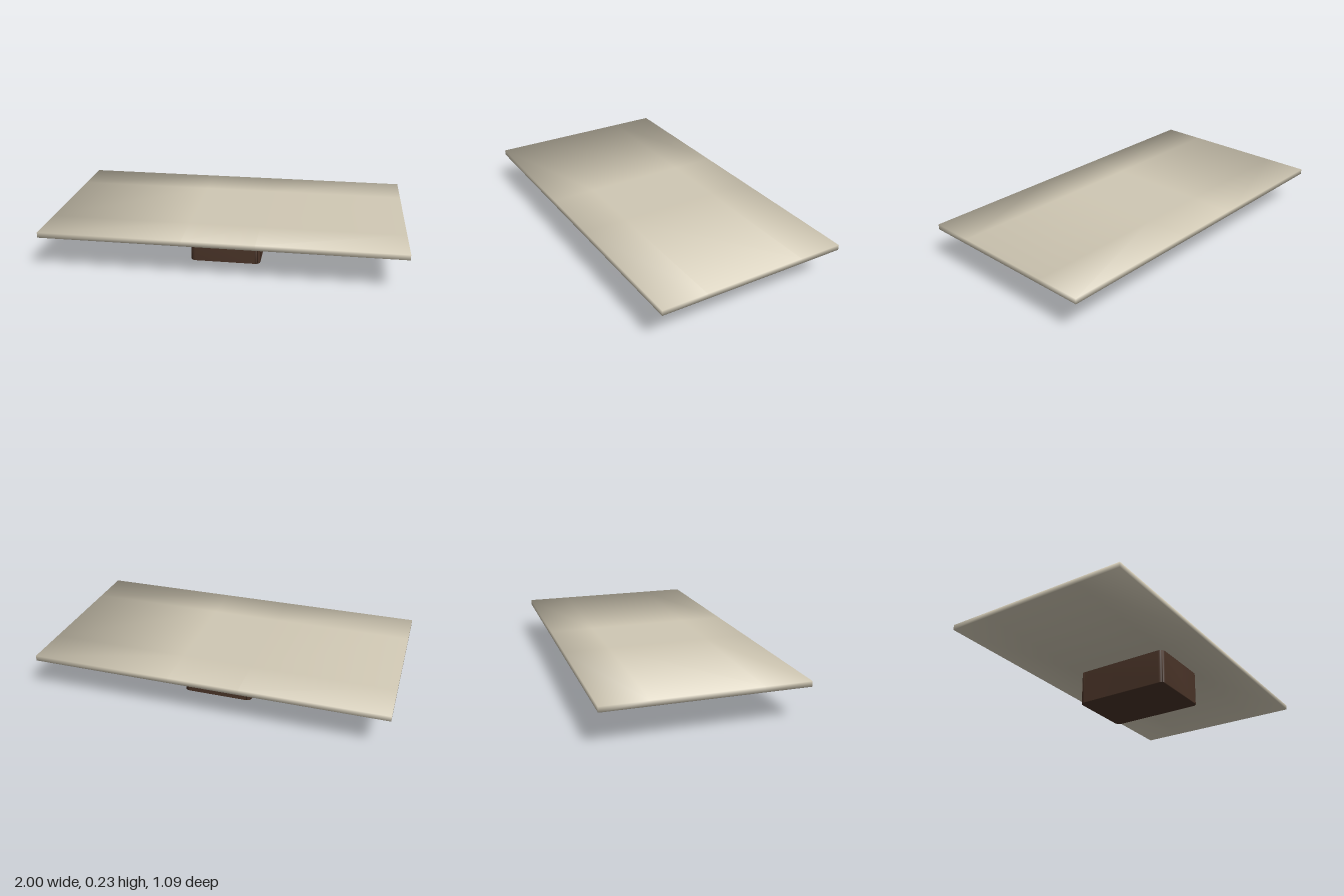
import * as THREE from 'three';
import { mergeVertices } from 'three/addons/utils/BufferGeometryUtils.js';

// Slab divided 3 x 1 x 3, with the inner cuts on the pedestal's footprint
// and soft normals that lean outward along every outer edge.
function slabGeometry(w, h, d, cutX, cutZ) {
  const geo = new THREE.BoxGeometry(w, h, d, 3, 1, 3);
  const pos = geo.attributes.position;
  const normal = geo.attributes.normal;
  const n = new THREE.Vector3();
  const place = (v, half, cut) => Math.sign(v) * (Math.abs(v) > half * 0.9 ? half : cut);
  const lean = (v, half) => (Math.abs(v) > half * 0.99 ? Math.sign(v) : 0);
  for (let i = 0; i < pos.count; i++) {
    const x = place(pos.getX(i), w / 2, cutX);
    const y = pos.getY(i);
    const z = place(pos.getZ(i), d / 2, cutZ);
    pos.setXYZ(i, x, y, z);
    n.set(lean(x, w / 2), lean(y, h / 2), lean(z, d / 2)).normalize();
    normal.setXYZ(i, n.x, n.y, n.z);
  }
  return geo;
}

// Upright block with rounded vertical corners, smooth shaded, standing on y = 0.
function blockGeometry(w, h, d, r) {
  const x = w / 2, z = d / 2;
  const s = new THREE.Shape();
  s.absarc(x - r, z - r, r, 0, Math.PI / 2);
  s.absarc(-x + r, z - r, r, Math.PI / 2, Math.PI);
  s.absarc(-x + r, -z + r, r, Math.PI, Math.PI * 1.5);
  s.absarc(x - r, -z + r, r, Math.PI * 1.5, Math.PI * 2);
  s.closePath();
  const geo = new THREE.ExtrudeGeometry(s, { depth: h, bevelEnabled: false, curveSegments: 4 });
  geo.rotateX(-Math.PI / 2);
  geo.deleteAttribute('normal');
  geo.deleteAttribute('uv');
  const smooth = mergeVertices(geo, 1e-4);
  smooth.computeVertexNormals();
  return smooth;
}

export function createModel() {
  const group = new THREE.Group();

  // Table top
  const top = new THREE.Mesh(
    slabGeometry(2, 0.03, 1.086, 0.2, 0.29),
    new THREE.MeshStandardMaterial({ color: 0xd0c8b4 })
  );
  top.name = 'tableTop';
  top.position.y = 0.215;
  group.add(top);

  // Central pedestal
  const pedestal = new THREE.Mesh(
    blockGeometry(0.4, 0.2, 0.578, 0.03),
    new THREE.MeshStandardMaterial({ color: 0x4a3428 })
  );
  pedestal.name = 'pedestal';
  group.add(pedestal);

  return group;
}
